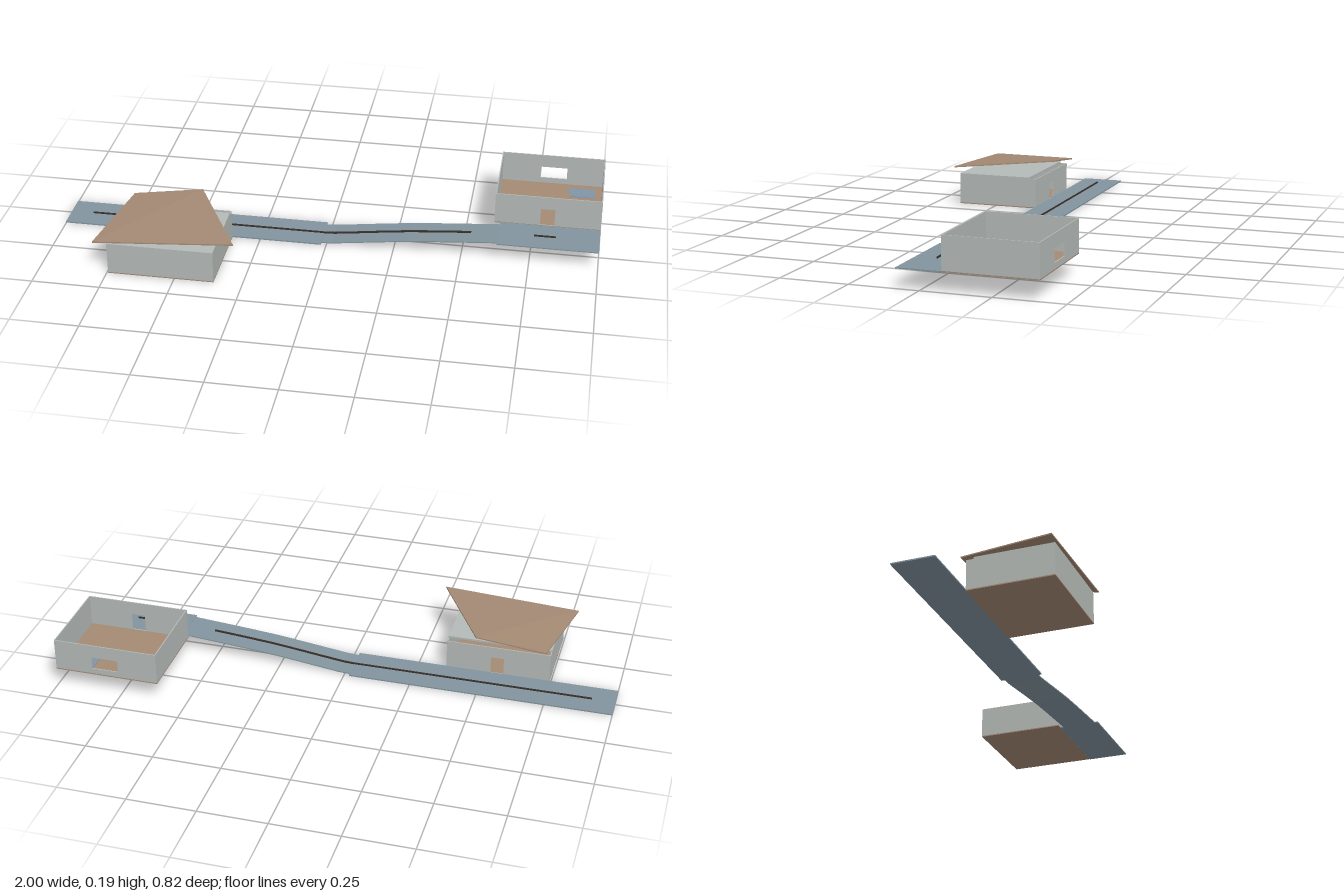
import * as THREE from 'three';

const mat = (name, color, extra = {}) =>
  new THREE.MeshStandardMaterial({ color, name, ...extra });

export function createModel() {
  const model = new THREE.Group();
  model.name = 'hillsideHouses';
  const wall = mat('wallGrey', 0xb4bab7);
  const brown = mat('floorBrown', 0xa48a74);
  const road = mat('roadBlueGrey', 0x82949e);
  const dark = mat('dividerDark', 0x3a302a);
  const pale = mat('matBlue', 0x7f95a8);

  const add = (parent, name, geo, material) => {
    const mesh = new THREE.Mesh(geo, material);
    mesh.name = name;
    parent.add(mesh);
    return mesh;
  };

  // Box given by its minimum and maximum on each axis
  const box = (parent, name, material, x0, x1, y0, y1, z0, z1) => {
    const mesh = add(parent, name, new THREE.BoxGeometry(x1 - x0, y1 - y0, z1 - z0), material);
    mesh.position.set((x0 + x1) / 2, (y0 + y1) / 2, (z0 + z1) / 2);
    return mesh;
  };

  // Upright wall facing z, with an optional rectangular opening [x0, x1, y0, y1]
  const T = 0.004;
  const openWall = (parent, name, x0, x1, y0, y1, z, hole) => {
    const rect = (Type, a, b, c, d) => new Type([
      new THREE.Vector2(a, c), new THREE.Vector2(b, c),
      new THREE.Vector2(b, d), new THREE.Vector2(a, d)]);
    const shape = rect(THREE.Shape, x0, x1, y0, y1);
    if (hole) shape.holes.push(rect(THREE.Path, ...hole));
    const geo = new THREE.ExtrudeGeometry(shape, { depth: T, bevelEnabled: false });
    add(parent, name, geo, wall).position.z = z;
  };

  // Four walls on a floor
  const house = (name, x0, x1, y0, y1, z0, z1, frontHole, backHole) => {
    const g = new THREE.Group();
    g.name = name;
    model.add(g);
    box(g, 'floor', brown, x0, x1, y0, y0 + 0.004, z0, z1);
    openWall(g, 'frontWall', x0, x1, y0 + 0.004, y1, z1 - T, frontHole);
    openWall(g, 'backWall', x0, x1, y0 + 0.004, y1, z0, backHole);
    for (const [n, x] of [['rightWall', x0], ['leftWall', x1 - T]])
      box(g, n, wall, x, x + T, y0 + 0.004, y1, z0 + T, z1 - T);
    return g;
  };

  // Lower house: door at the back, ceiling slab and a skewed roof sheet
  const lower = house('lowerHouse', -0.745, -0.355, 0, 0.115, 0.083, 0.4,
    null, [-0.572, -0.523, 0.006, 0.072]);
  box(lower, 'ceiling', wall, -0.745, -0.355, 0.115, 0.122, 0.11, 0.4);

  const corners = {
    '-1,-1': [-0.73, 0.141, 0.056], '1,-1': [-0.47, 0.175, 0.044],
    '1,1': [-0.28, 0.163, 0.396], '-1,1': [-0.795, 0.13, 0.406],
  };
  const roofGeo = new THREE.BoxGeometry(2, 2, 2).toNonIndexed();
  const p = roofGeo.attributes.position;
  for (let i = 0; i < p.count; i++) {
    const [x, y, z] = corners[`${p.getX(i)},${p.getZ(i)}`];
    p.setXYZ(i, x, p.getY(i) > 0 ? y : y - 0.005, z);
  }
  roofGeo.computeVertexNormals();
  add(lower, 'roof', roofGeo, brown);

  // Upper house: open top, door at the front, window at the back
  const upper = house('upperHouse', 0.608, 1, 0.068, 0.19, -0.41, -0.078,
    [0.777, 0.83, 0.073, 0.14], [0.757, 0.858, 0.093, 0.14]);
  box(upper, 'bench', brown, 0.778, 0.88, 0.072, 0.09, -0.297, -0.257);
  box(upper, 'floorMat', pale, 0.87, 0.97, 0.072, 0.074, -0.375, -0.31);

  // Road: flat lower strip, curved ramp, flat upper strip
  const ramp = [[-0.02, 0.006], [0.02, 0.008], [0.1, 0.018], [0.2, 0.031],
    [0.3, 0.043], [0.4, 0.052], [0.5, 0.06], [0.63, 0.07]];
  // Band following a path of [x, y], from lo to hi above it
  const band = (parent, name, material, path, lo, hi, z0, z1) => {
    const pts = [...path.map(([x, y]) => new THREE.Vector2(x, y + lo)),
      ...path.map(([x, y]) => new THREE.Vector2(x, y + hi)).reverse()];
    const geo = new THREE.ExtrudeGeometry(new THREE.Shape(pts),
      { depth: z1 - z0, bevelEnabled: false });
    add(parent, name, geo, material).position.z = z0;
  };
  const street = new THREE.Group();
  street.name = 'road';
  model.add(street);
  box(street, 'lowerRoad', road, -1, -0.02, 0.002, 0.007, -0.075, 0.083);
  band(street, 'ramp', road, ramp, -0.004, 0, -0.062, 0.07);
  box(street, 'upperRoad', road, 0.63, 1, 0.067, 0.071, -0.077, 0.082);

  // Thin divider along the middle of the road
  const line = [[-0.915, 0.006], ...ramp.slice(0, -1), [0.53, 0.062]];
  band(street, 'divider', dark, line, 0, 0.006, 0.001, 0.006);
  box(street, 'upperDivider', dark, 0.76, 0.84, 0.07, 0.076, 0.001, 0.006);

  return model;
}
